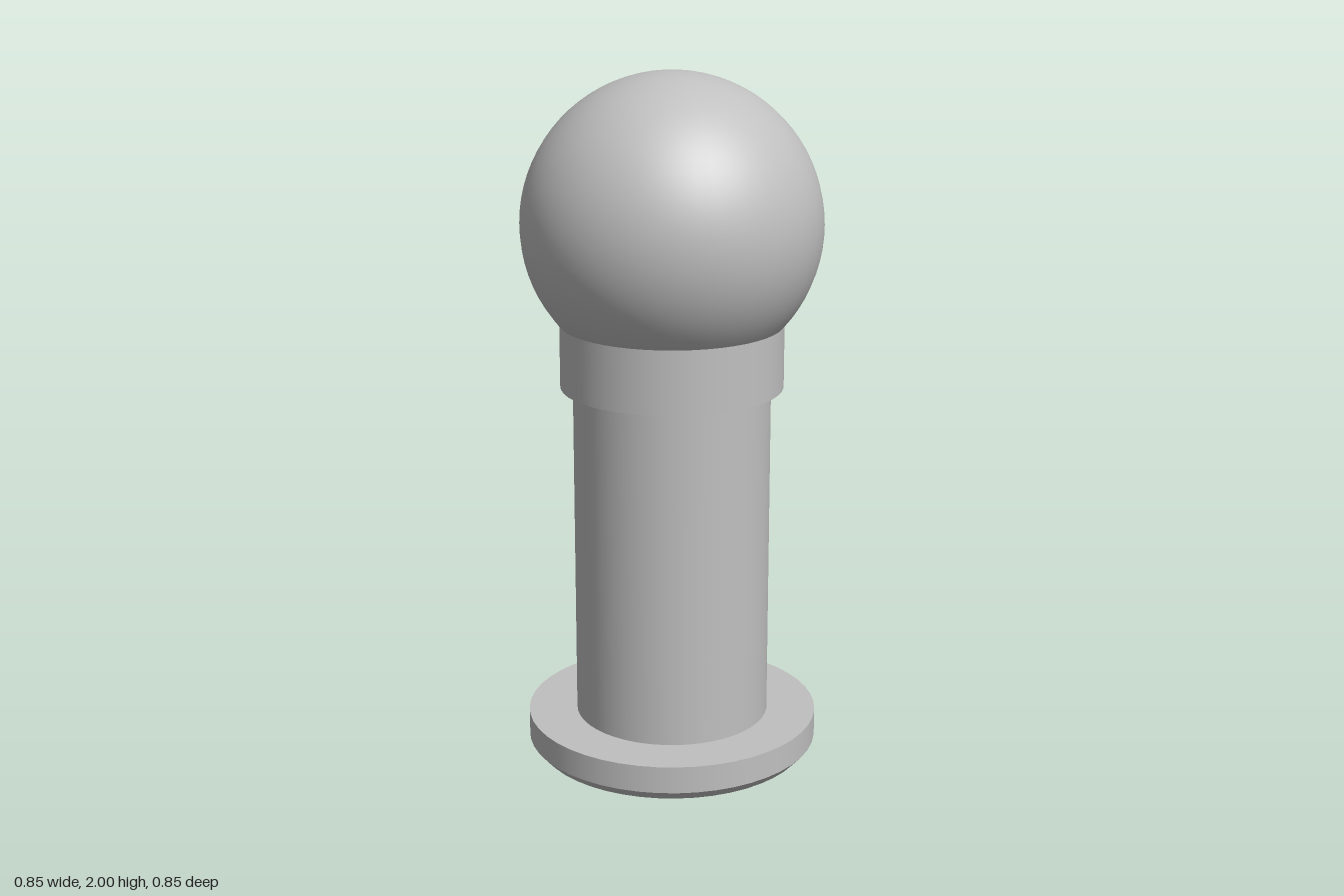
import * as THREE from 'three';
import { mergeGeometries } from 'three/addons/utils/BufferGeometryUtils.js';

const SEGMENTS = 48;

// Turned surface with a crisp edge at every profile point [radius, y]
function turned(name, profile, material) {
  const bands = [];
  for (let i = 0; i < profile.length - 1; i++) {
    const pair = [profile[i], profile[i + 1]].map(([r, y]) => new THREE.Vector2(r, y));
    bands.push(new THREE.LatheGeometry(pair, SEGMENTS));
  }
  const mesh = new THREE.Mesh(mergeGeometries(bands), material);
  mesh.name = name;
  return mesh;
}

export function createModel() {
  const group = new THREE.Group();
  group.name = 'ballStud';
  const steel = new THREE.MeshStandardMaterial({ color: 0xc0c0c0 });
  steel.name = 'grey steel';

  // Blind bore with a countersunk mouth
  group.add(turned('bore', [[0, 1.1], [0.17, 1.1], [0.17, 0.047], [0.22, 0]], steel));

  // Base flange, chamfered on its lower rim
  group.add(turned('baseFlange', [[0.22, 0], [0.4, 0], [0.427, 0.03], [0.427, 0.11], [0.284, 0.11]], steel));

  // Shaft and the wider collar under the ball
  group.add(turned('shaft', [[0.284, 0.11], [0.284, 1.106]], steel));
  group.add(turned('collar', [[0.284, 1.106], [0.32, 1.106], [0.32, 1.295]], steel));

  // Ball, cut off where it meets the collar
  const radius = 0.427;
  const cut = Math.PI - Math.asin(0.32 / radius);
  const ball = new THREE.Mesh(
    new THREE.SphereGeometry(radius, SEGMENTS, 28, 0, Math.PI * 2, 0, cut), steel);
  ball.position.y = 2 - radius;
  ball.name = 'ball';
  group.add(ball);

  return group;
}
